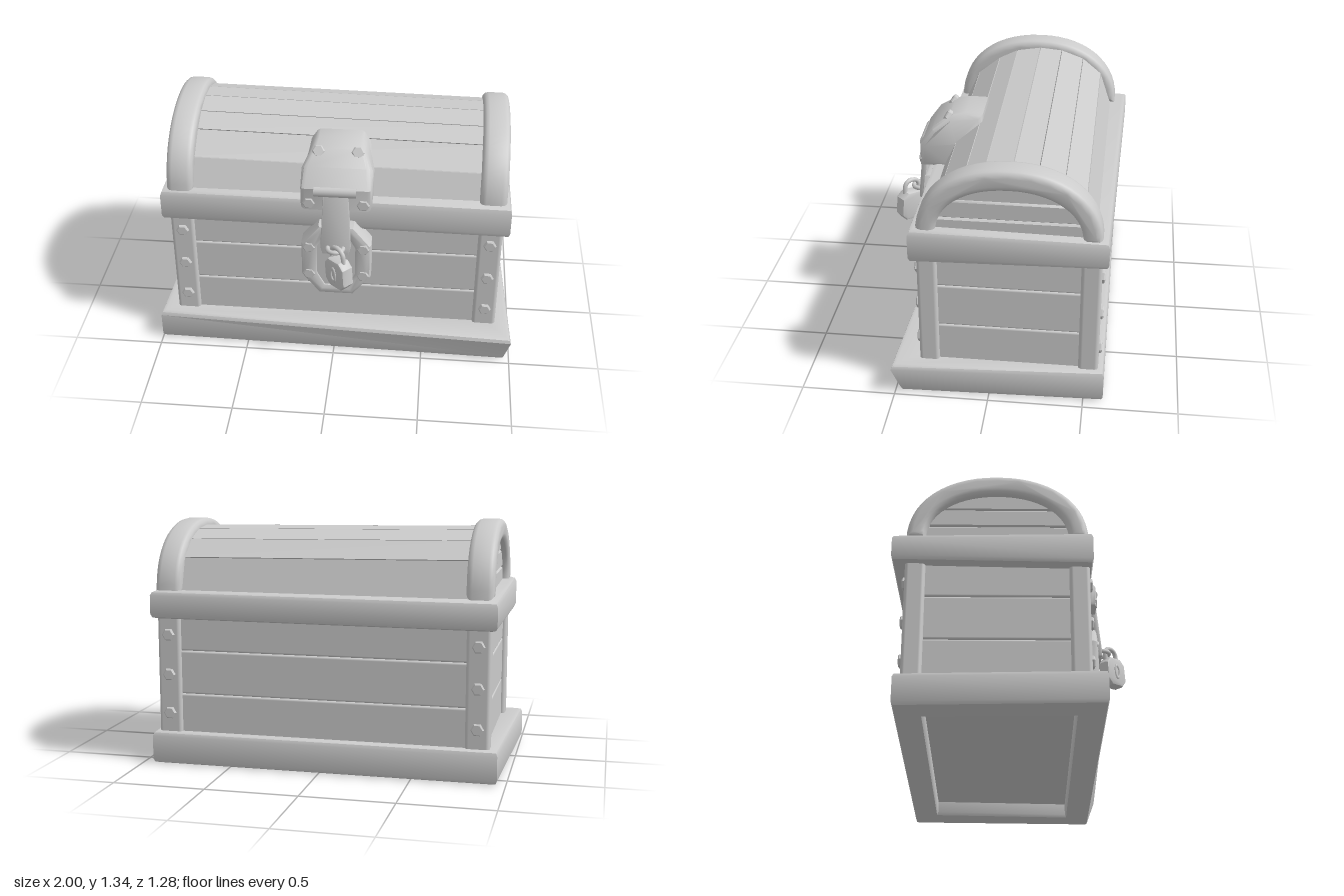
import * as THREE from 'three';
import { toCreasedNormals } from 'three/addons/utils/BufferGeometryUtils.js';
import { RoundedBoxGeometry } from 'three/addons/geometries/RoundedBoxGeometry.js';

const mat = new THREE.MeshStandardMaterial({ color: 0xcccccc });
const LID_Y = 0.95, MID_Z = -0.1; // springing height and centre line of the arched lid

function add(parent, name, geo, x = 0, y = 0, z = 0) {
  const m = new THREE.Mesh(geo, mat);
  m.name = name;
  m.position.set(x, y, z);
  parent.add(m);
  return m;
}

const toV2 = pts => pts.map(p => new THREE.Vector2(p[0], p[1]));

// Bevelled slab of total thickness d, centred on z; the bevel stays inside the outline
function slab(pts, d, bevel = 0.02, hole = null, segs = 2) {
  const shape = new THREE.Shape(toV2(pts));
  if (hole) shape.holes.push(new THREE.Path(toV2(hole)));
  const g = new THREE.ExtrudeGeometry(shape, {
    depth: d - 2 * bevel, bevelEnabled: bevel > 0, bevelSize: bevel,
    bevelThickness: bevel, bevelOffset: -bevel, bevelSegments: segs,
  });
  return g.translate(0, 0, -(d - 2 * bevel) / 2);
}

// Slab lying flat from (x, z) corners, or standing across x from (-z, y) points
const flipZ = pts => pts.map(([x, z]) => [x, -z]);
const flat = (pts, d, bevel, hole = null) =>
  slab(flipZ(pts), d, bevel, hole && flipZ(hole)).rotateX(-Math.PI / 2);
const across = (...args) => slab(...args).rotateY(Math.PI / 2);
const smooth = (g, angle = 0.6) => toCreasedNormals(g, angle);

function moveVertices(g, rule) {
  const p = g.attributes.position, v = new THREE.Vector3();
  for (let i = 0; i < p.count; i++) {
    rule(v.fromBufferAttribute(p, i));
    p.setXYZ(i, v.x, v.y, v.z);
  }
  return g;
}

// Slightly squared arch
function arch(a, b, n = 28) {
  const e = 2 / 2.15;
  return Array.from({ length: n + 1 }, (_, i) => {
    const t = (i / n) * Math.PI, c = Math.cos(t);
    return [a * Math.sign(c) * Math.abs(c) ** e, b * Math.abs(Math.sin(t)) ** e];
  });
}

// Six-sided bolt head facing +z, with a small chamfer
function bolt(parent, x, y, z, tilt = 0) {
  const hex = Array.from({ length: 6 }, (_, i) =>
    [0.035 * Math.cos(i * Math.PI / 3), 0.035 * Math.sin(i * Math.PI / 3)]);
  add(parent, 'bolt', slab(hex, 0.032, 0.006, null, 1), x, y, z).rotation.x = tilt;
}

function buildBody(root) {
  const body = new THREE.Group();
  body.name = 'body';
  root.add(body);

  // Skewed plinth with a recessed underside; one corner is undercut
  const plinth = flat(
    [[-1, 0.44], [1, 0.515], [0.94, -0.605], [-0.955, -0.605]], 0.18, 0.025,
    [[-0.82, 0.29], [0.82, 0.32], [0.78, -0.46], [-0.8, -0.46]]);
  moveVertices(plinth, v => {
    if (v.x > 0.85 && v.z > 0.4 && v.y < 0) { v.x -= 0.03; v.z -= 0.045; }
  });
  add(body, 'plinth', smooth(plinth), 0, 0.09, 0);
  add(body, 'floor', new THREE.BoxGeometry(1.72, 0.06, 0.86), 0, 0.12, -0.08);

  // Plank courses
  for (const [lo, hi] of [[0.15, 0.39], [0.39, 0.63], [0.63, 0.84]]) {
    add(body, 'plankCourse', new RoundedBoxGeometry(1.775, hi - lo, 0.905, 2, 0.012),
      0, (lo + hi) / 2, MID_Z);
  }

  // Corner posts with bolts on front and back
  for (const sx of [-1, 1]) {
    for (const sz of [-1, 1]) {
      add(body, 'cornerPost', new RoundedBoxGeometry(0.13, 0.68, 0.105, 2, 0.02),
        sx * 0.845, 0.5, MID_Z + sz * 0.42);
      const bolts = new THREE.Group();
      bolts.name = 'postBolts';
      bolts.position.set(sx * 0.845, 0, MID_Z + sz * 0.472);
      if (sz < 0) bolts.rotation.y = Math.PI;
      body.add(bolts);
      for (const y of [0.285, 0.5, 0.72]) bolt(bolts, 0, y, 0);
    }
  }

  // Rail around the top, a little taller at the front
  const rail = flat([[-0.95, 0.39], [0.945, 0.405], [0.935, -0.605], [-0.945, -0.64]], 0.172, 0.028);
  moveVertices(rail, v => { v.y *= 1 + 0.2 * v.z; });
  add(body, 'rail', smooth(rail), 0, 0.885, 0);
}

function buildLid(root) {
  const lid = new THREE.Group();
  lid.name = 'lid';
  lid.position.set(0, LID_Y, MID_Z);
  lid.rotation.z = -0.012;
  root.add(lid);

  add(lid, 'lidCore', smooth(across(arch(0.39, 0.295), 1.7, 0)));

  // Flat staves around the barrel, listed front to back as (-z, y) seams
  const seams = [[-0.445, 0], [-0.365, 0.17], [-0.238, 0.272], [-0.13, 0.325], [0.01, 0.347],
    [0.14, 0.335], [0.27, 0.288], [0.38, 0.195], [0.445, 0]];
  const mix = (p, q, t, s) => [0, 1].map(k => s * (p[k] + (q[k] - p[k]) * t));
  for (let i = 0; i < seams.length - 1; i++) {
    const a = seams[i], b = seams[i + 1];
    const quad = [mix(a, b, 0.015, 1), mix(a, b, 0.985, 1), mix(a, b, 0.985, 0.87), mix(a, b, 0.015, 0.87)];
    add(lid, 'stave', smooth(across(quad, 1.64, 0.008, null, 1), 0.3));
  }

  for (const s of [-1, 1]) {
    // Rounded end band
    const outer = arch(0.472, 0.384);
    const inner = arch(0.372, 0.272).reverse();
    add(lid, 'endBand', smooth(across([...outer, ...inner], 0.145, 0.032, null, 3), 0.8), s * 0.846);

    // Horizontal boards filling the end
    const halfWidth = y => 0.41 * Math.sqrt(Math.max(0, 1 - (y / 0.31) ** 2));
    for (const [lo, hi] of [[0, 0.088], [0.092, 0.19], [0.194, 0.29]]) {
      const side = [0, 1, 2, 3, 4].map(k => lo + ((hi - lo) * k) / 4);
      const pts = [...side.map(y => [halfWidth(y), y]),
        ...side.reverse().map(y => [-halfWidth(y), y])];
      add(lid, 'endBoard', smooth(across(pts, 0.07, 0.008, null, 1)), s * 0.845);
    }
  }
}

function buildLatch(root) {
  const latch = new THREE.Group();
  latch.name = 'latch';
  latch.position.x = 0.015;
  root.add(latch);

  // Bracket wrapping over the lid, narrowing towards its upper end
  const profile = [[0.468, 0.962], [0.468, 1.09], [0.4, 1.185], [0.31, 1.248], [0.22, 1.265],
    [0.125, 1.262], [0.125, 1.18], [0.24, 1.09], [0.3, 0.962]];
  const bracket = across(profile.map(([z, y]) => [-z, y]), 0.38, 0.025);
  moveVertices(bracket, v => { v.x *= 1 - 3.3 * Math.max(0, v.y - 1.165); });
  add(latch, 'lidBracket', smooth(bracket));
  for (const s of [-1, 1]) {
    bolt(latch, s * 0.145, 1.0, 0.458);
    bolt(latch, s * 0.105, 1.235, 0.318, -0.6);
  }

  // Hinge pin and strap
  add(latch, 'hingePin', new THREE.CylinderGeometry(0.032, 0.032, 0.225, 16).rotateZ(Math.PI / 2),
    -0.005, 1.07, 0.45);
  const strap = slab([[-0.07, 0.7], [0.07, 0.7], [0.082, 0.74], [0.067, 1.07], [-0.067, 1.07], [-0.082, 0.74]],
    0.032, 0.008);
  moveVertices(strap, v => { v.z += 0.488 - 0.09 * (v.y - 0.7); });
  add(latch, 'strap', smooth(strap));

  // Octagonal plate with a shallow sunken middle
  const oct = (w, h, cw, ch) => [[-w, -ch], [-cw, -h], [cw, -h], [w, -ch], [w, ch], [cw, h], [-cw, h], [-w, ch]];
  add(latch, 'lockPlate', smooth(slab(oct(0.19, 0.225, 0.095, 0.105), 0.13, 0.025, oct(0.1, 0.16, 0.06, 0.085))),
    0, 0.63, 0.407);
  add(latch, 'plateMiddle', slab(oct(0.13, 0.19, 0.07, 0.1), 0.09, 0.01), 0, 0.63, 0.413);
  for (const sx of [-1, 1]) for (const y of [0.54, 0.715]) bolt(latch, sx * 0.148, y, 0.46);

  // Staple that carries the padlock
  add(latch, 'staple', new THREE.TorusGeometry(0.042, 0.013, 8, 20).rotateX(Math.PI / 2), 0, 0.742, 0.505);

  // Padlock hanging askew
  const lock = new THREE.Group();
  lock.name = 'padlock';
  lock.position.set(0.025, 0.63, 0.565);
  lock.rotation.set(0, -Math.PI / 4, 0.1);
  latch.add(lock);
  add(lock, 'padlockBody', smooth(slab(oct(0.078, 0.085, 0.045, 0.05), 0.075, 0.014)));
  const path = new THREE.CatmullRomCurve3([[-0.045, 0.07], [-0.045, 0.12], [-0.03, 0.142], [0, 0.15],
    [0.03, 0.142], [0.045, 0.12], [0.045, 0.07]].map(([x, y]) => new THREE.Vector3(x, y, 0)));
  add(lock, 'shackle', new THREE.TubeGeometry(path, 24, 0.013, 8));
  add(lock, 'keyholeRim', new THREE.TorusGeometry(0.022, 0.006, 6, 18).scale(0.8, 1.7, 1), 0, 0, 0.038);
}

export function createModel() {
  const root = new THREE.Group();
  root.name = 'treasureChest';
  buildBody(root);
  buildLid(root);
  buildLatch(root);
  return root;
}
